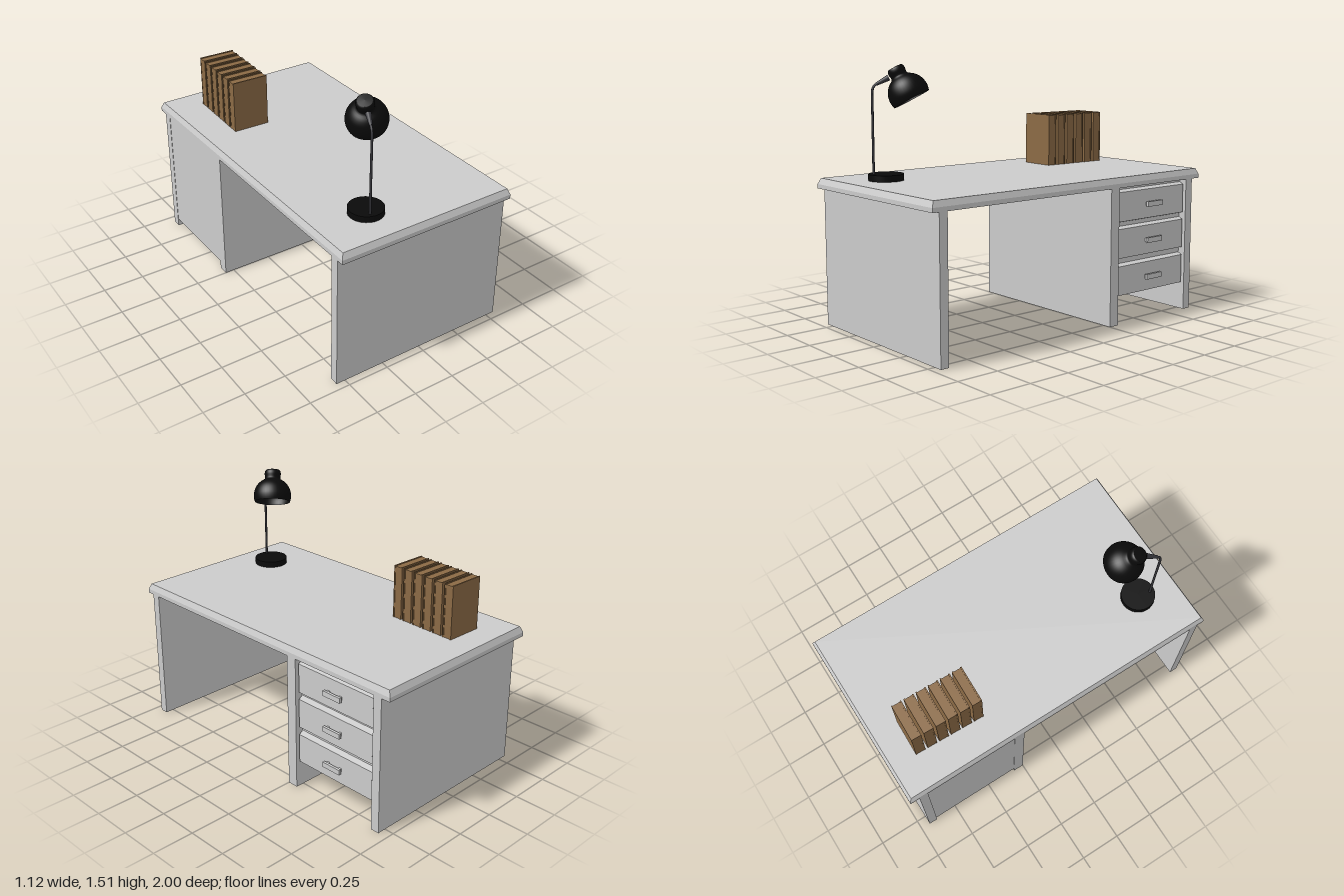
import * as THREE from 'three';

const grey = new THREE.MeshStandardMaterial({ color: 0xcccccc });
const greyFlat = new THREE.MeshStandardMaterial({ color: 0xcccccc, flatShading: true });
const brown = new THREE.MeshStandardMaterial({ color: 0x8b6a45 });
const black = new THREE.MeshStandardMaterial({ color: 0x0a0a0a, side: THREE.DoubleSide });
const metal = new THREE.MeshStandardMaterial({ color: 0x35353a });

function add(parent, name, geometry, material) {
  const mesh = new THREE.Mesh(geometry, material);
  mesh.name = name;
  parent.add(mesh);
  return mesh;
}

// Box given by its limits on each axis
function block(parent, name, [x0, x1], [y0, y1], [z0, z1], material = grey) {
  const mesh = add(parent, name, new THREE.BoxGeometry(x1 - x0, y1 - y0, z1 - z0), material);
  mesh.position.set((x0 + x1) / 2, (y0 + y1) / 2, (z0 + z1) / 2);
  return mesh;
}

// Box standing on y = 0 whose top face is pulled in by an inset
function taperedBox(w, h, d, insetX, insetZ) {
  const g = new THREE.BoxGeometry(w, h, d).translate(0, h / 2, 0);
  const p = g.attributes.position;
  for (let i = 0; i < p.count; i++) {
    if (p.getY(i) > h / 2) {
      p.setX(i, p.getX(i) - Math.sign(p.getX(i)) * insetX);
      p.setZ(i, p.getZ(i) - Math.sign(p.getZ(i)) * insetZ);
    }
  }
  return g;
}

function createDesk() {
  const desk = new THREE.Group();
  desk.name = 'desk';

  // Top with a chamfered upper edge
  block(desk, 'deskTop', [-0.555, 0.555], [0.805, 0.83], [-1, 1]);
  add(desk, 'deskTopChamfer', taperedBox(1.11, 0.034, 2, 0.013, 0.016), greyFlat).position.y = 0.83;

  // Upright side panels
  const depth = [-0.555, 0.553];
  block(desk, 'endPanel', depth, [0, 0.805], [0.905, 0.957]);
  block(desk, 'innerPanel', depth, [0, 0.805], [-0.315, -0.25]);
  block(desk, 'outerPanel', depth, [0, 0.805], [-0.942, -0.888]);

  // Drawer cabinet
  block(desk, 'cabinetBody', [-0.53, 0.505], [0.16, 0.805], [-0.888, -0.315]);
  block(desk, 'cabinetBack', [-0.553, -0.53], [0.05, 0.805], [-0.888, -0.315]);

  // Drawers with bevelled fronts and bar handles
  for (const y of [0.69, 0.475, 0.255]) {
    const drawer = new THREE.Group();
    drawer.name = 'drawer';
    drawer.position.set(0.505, y, -0.602);
    const front = taperedBox(0.192, 0.035, 0.568, 0.01, 0.01).rotateZ(-Math.PI / 2);
    add(drawer, 'drawerFront', front, greyFlat);
    block(drawer, 'handle', [0.05, 0.065], [-0.015, 0.015], [-0.063, 0.063]);
    for (const s of [-0.045, 0.045]) {
      block(drawer, 'handlePost', [0.03, 0.052], [-0.01, 0.01], [s - 0.008, s + 0.008]);
    }
    desk.add(drawer);
  }
  return desk;
}

function createBooks() {
  const books = new THREE.Group();
  books.name = 'books';
  for (let i = 0; i < 6; i++) {
    const book = new THREE.Group();
    book.name = 'book';
    // Page block with spine, between two boards
    block(book, 'pages', [-0.11, 0.108], [0, 0.31], [-0.025, 0.025], brown);
    for (const s of [-1, 1]) {
      block(book, 'cover', [-0.111, 0.111], [0, 0.314], [s * 0.026 - 0.004, s * 0.026 + 0.004], brown);
    }
    book.position.set(-0.236 - i * 0.0025, 0.864, -0.8 + i * 0.0745);
    book.rotation.y = -0.03;
    books.add(book);
  }
  return books;
}

function createLamp() {
  const lamp = new THREE.Group();
  lamp.name = 'lamp';
  add(lamp, 'lampBase', new THREE.CylinderGeometry(0.1, 0.1, 0.036, 40), black)
    .position.set(-0.232, 0.882, 0.748);

  // Stem, bending over at the top
  const stem = new THREE.CurvePath();
  const v = (x, y, z) => new THREE.Vector3(x, y, z);
  stem.add(new THREE.LineCurve3(v(-0.255, 0.89, 0.815), v(-0.255, 1.34, 0.815)));
  stem.add(new THREE.CubicBezierCurve3(
    v(-0.255, 1.34, 0.815), v(-0.255, 1.4, 0.815), v(-0.25, 1.395, 0.8), v(-0.225, 1.425, 0.74)));
  add(lamp, 'lampStem', new THREE.TubeGeometry(stem, 60, 0.007, 10), metal);

  // Thicker joint where the stem meets the shade
  const from = v(-0.246, 1.4, 0.792), to = v(-0.218, 1.434, 0.73);
  const joint = add(lamp, 'lampJoint', new THREE.CylinderGeometry(0.017, 0.009, from.distanceTo(to), 16), metal);
  joint.position.copy(from).lerp(to, 0.5);
  joint.quaternion.setFromUnitVectors(v(0, 1, 0), to.clone().sub(from).normalize());

  // Bell shade, open at the bottom
  const outline = [[0.04, 0], [0.047, 0.008], [0.05, 0.025], [0.047, 0.045], [0.05, 0.058],
    [0.075, 0.075], [0.096, 0.098], [0.109, 0.125], [0.115, 0.155], [0.113, 0.18], [0.108, 0.198]];
  const curve = new THREE.SplineCurve(outline.map(([r, t]) => new THREE.Vector2(r, -t)));
  const profile = [new THREE.Vector2(0, 0.002), ...curve.getPoints(30)].reverse();
  const shade = add(lamp, 'lampShade', new THREE.LatheGeometry(profile, 40), black);
  shade.position.set(-0.213, 1.49, 0.692);
  shade.quaternion.setFromUnitVectors(v(0, -1, 0), v(0.34, -0.88, -0.33).normalize());

  // Bulb inside the shade
  const bulb = add(shade, 'bulb', new THREE.SphereGeometry(0.035, 20, 14), black);
  bulb.position.y = -0.12;
  return lamp;
}

export function createModel() {
  const model = new THREE.Group();
  model.name = 'deskWithLampAndBooks';
  model.add(createDesk(), createBooks(), createLamp());
  return model;
}
